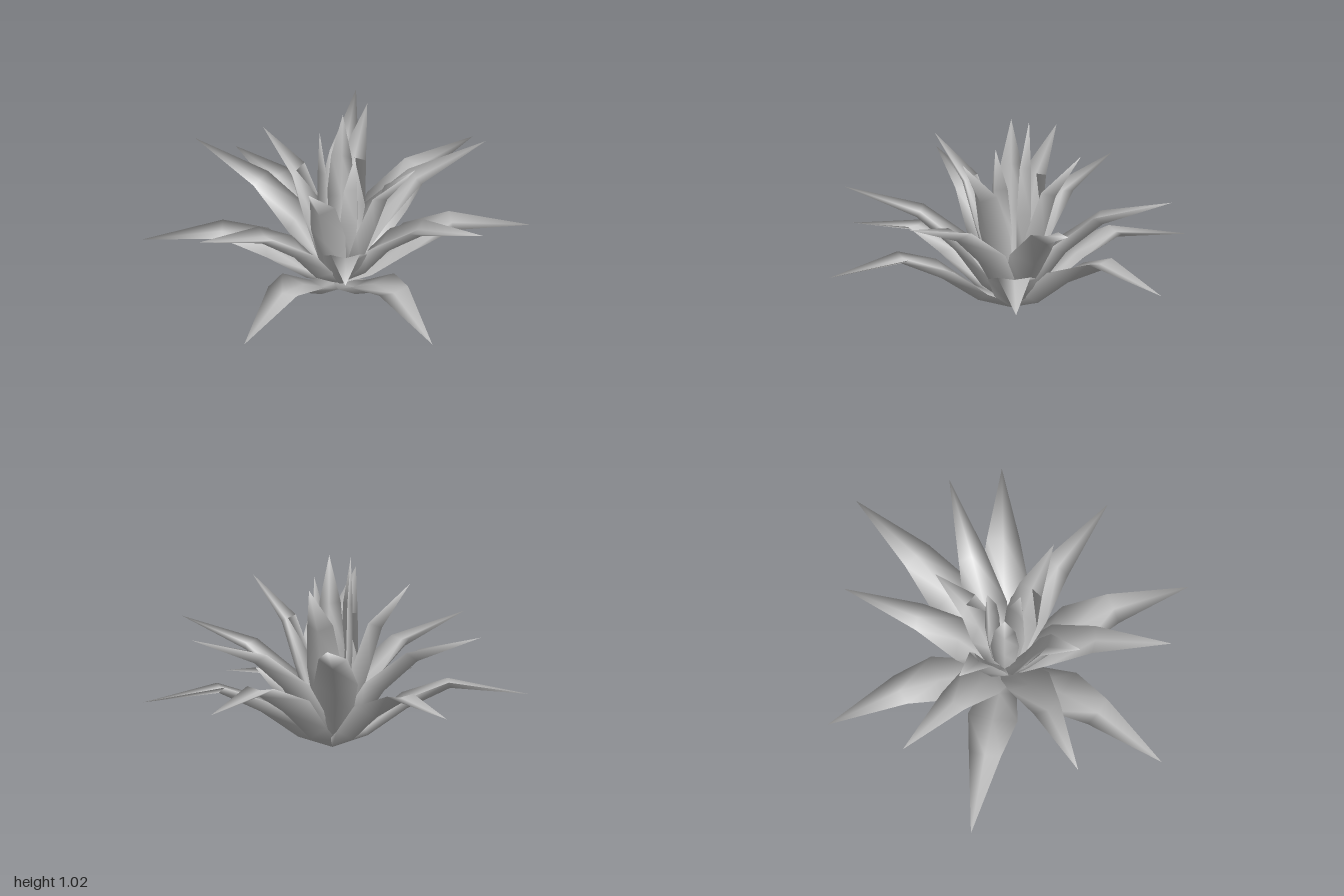
import * as THREE from 'three';

const leafMaterial = new THREE.MeshStandardMaterial({ color: 0xc8c8c8 });
leafMaterial.name = 'leaf grey';

// Cross-sections from base to tip: [keel radius, keel y, edge radius, edge y, half width]
const OUTER = [
  [0, 0, 0, 0.03, 0.03],
  [0.18, 0.06, 0.16, 0.11, 0.09],
  [0.38, 0.2, 0.36, 0.265, 0.13],
  [0.6, 0.305, 0.59, 0.345, 0.085],
  [1, 0.27, 1, 0.27, 0],
];
const MIDDLE = [
  [0, 0.01, 0, 0.04, 0.03],
  [0.15, 0.12, 0.1, 0.18, 0.09],
  [0.29, 0.31, 0.23, 0.36, 0.115],
  [0.49, 0.48, 0.46, 0.53, 0.075],
  [0.87, 0.63, 0.87, 0.63, 0],
];
const UPPER = [
  [0, 0.02, 0, 0.04, 0.03],
  [0.13, 0.18, 0.08, 0.2, 0.075],
  [0.21, 0.42, 0.15, 0.44, 0.095],
  [0.28, 0.64, 0.23, 0.67, 0.07],
  [0.44, 0.88, 0.44, 0.88, 0],
];
const HEART = [
  [0.01, 0.05, 0, 0.06, 0.02],
  [0.09, 0.25, 0.05, 0.26, 0.055],
  [0.11, 0.5, 0.06, 0.51, 0.075],
  [0.11, 0.75, 0.07, 0.76, 0.055],
  [0.1, 1, 0.1, 1, 0],
];

// Each whorl: name, sections, sideways bend, leaf tips [x, y, z]
const WHORLS = [
  ['outerLeaf', OUTER, 0, [
    [0.99, 0.27, -0.25], [0.63, 0.31, -0.94], [-0.59, 0.27, -0.8],
    [-1, 0.27, 0.06], [-0.39, 0.27, 0.93], [0.58, 0.27, 0.84]]],
  ['middleLeaf', MIDDLE, -0.025, [
    [0.74, 0.63, -0.47], [0.8, 0.63, 0.36], [0.13, 0.63, 0.86],
    [-0.66, 0.63, 0.55], [-0.76, 0.63, -0.36], [0.03, 0.63, -0.86]]],
  ['upperLeaf', UPPER, 0, [
    [0.43, 0.88, 0.16], [-0.39, 0.88, -0.15], [0.13, 0.88, -0.4], [-0.1, 0.88, 0.43]]],
  ['heartLeaf', HEART, 0, [
    [-0.08, 0.99, 0.02], [0.03, 1.02, -0.1], [0.11, 0.88, 0.06]]],
];

const ROOT_X = 0.015; // the leaves grow from a point just beside the middle
const HOLLOW = 0.7; // how far the upper face lies from the keel towards the edges

// Solid channelled leaf: each section is edge, upper middle, edge, keel, and all meet at the tip
function leafGeometry(rows, bend, [tx, ty, tz]) {
  const [endRadius, endY] = rows[rows.length - 1];
  const reach = Math.hypot(tx - ROOT_X, tz);
  const dx = (tx - ROOT_X) / reach, dz = tz / reach;
  const rs = reach / endRadius, ys = ty / endY;
  const positions = [], index = [];
  const sections = rows.slice(0, -1);
  const tip = sections.length * 4;
  sections.forEach(([kr, ky, er, ey, w], i) => {
    const sway = bend * Math.sin(Math.PI * i / sections.length);
    for (const [side, lift] of [[-1, 1], [0, HOLLOW], [1, 1], [0, 0]]) {
      const r = (kr + (er - kr) * lift) * rs;
      const y = (ky + (ey - ky) * lift) * ys;
      const s = w * side + sway;
      positions.push(ROOT_X + dx * r - dz * s, y, dz * r + dx * s);
    }
    for (let j = 0; j < 4; j++) {
      const a = i * 4 + j, b = i * 4 + (j + 1) % 4;
      if (i === sections.length - 1) index.push(a, b, tip);
      else index.push(a, b, a + 4, b, b + 4, a + 4);
    }
  });
  positions.push(tx, ty, tz);
  index.push(0, 3, 1, 1, 3, 2); // base cap
  const geometry = new THREE.BufferGeometry();
  geometry.setAttribute('position', new THREE.Float32BufferAttribute(positions, 3));
  geometry.setIndex(index);
  geometry.computeVertexNormals();
  return geometry;
}

export function createModel() {
  const plant = new THREE.Group();
  plant.name = 'rosettePlant';
  for (const [name, rows, bend, tips] of WHORLS) {
    const whorl = new THREE.Group();
    whorl.name = name + 'Whorl';
    tips.forEach((tip, i) => {
      const leaf = new THREE.Mesh(leafGeometry(rows, bend, tip), leafMaterial);
      leaf.name = name + (i + 1);
      whorl.add(leaf);
    });
    plant.add(whorl);
  }
  return plant;
}
